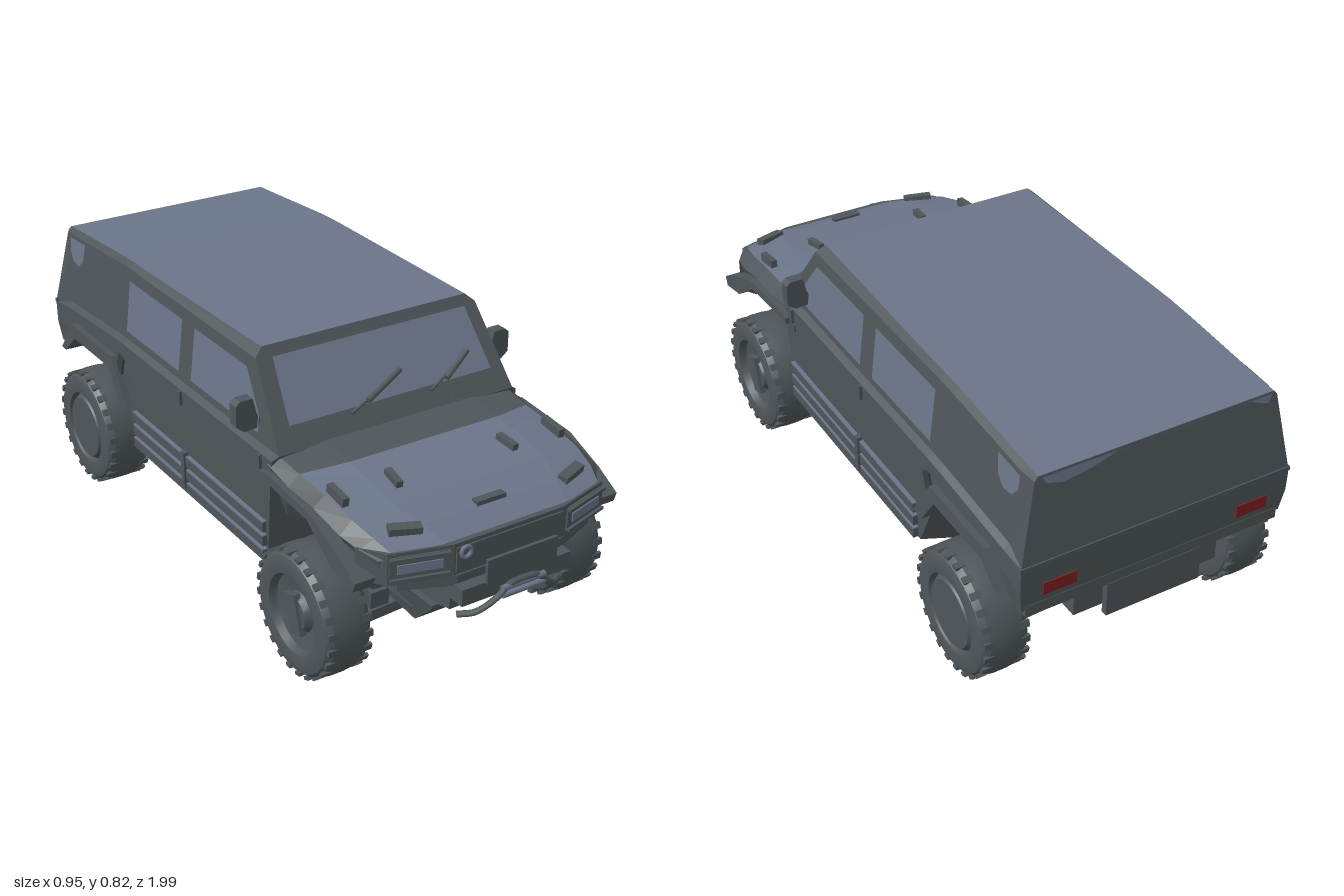
import * as THREE from 'three';
import { toCreasedNormals } from 'three/addons/utils/BufferGeometryUtils.js';

const paint = (name, color, extra = {}) => Object.assign(new THREE.MeshStandardMaterial({ color, ...extra }), { name });
const geometryFrom = positions => {
  const g = new THREE.BufferGeometry();
  g.setAttribute('position', new THREE.Float32BufferAttribute(positions, 3));
  g.computeVertexNormals();
  return g;
};
// Skins mirrored half sections [x, y, z], ordered front to rear, top to bottom.
// pick(i, j) gives the material index of a strip; the last j is the top.
function loft(halves, pick) {
  const rings = halves.map(h => [...h, ...h.slice().reverse().map(([x, y, z]) => [-x, y, z])]);
  const n = rings[0].length, buckets = [[], []];
  const quad = (k, a, b, c, d) => buckets[k].push(...a, ...b, ...d, ...b, ...c, ...d);
  for (let i = 0; i < rings.length - 1; i++) {
    for (let j = 0; j < n; j++) {
      const k = (j + 1) % n;
      quad(pick(i, j), rings[i][j], rings[i][k], rings[i + 1][k], rings[i + 1][j]);
    }
  }
  const front = rings[0], rear = rings[rings.length - 1];
  for (let j = 0; j < n / 2 - 1; j++) {
    quad(0, front[n - 1 - j], front[n - 2 - j], front[j + 1], front[j]);
    quad(0, rear[j], rear[j + 1], rear[n - 2 - j], rear[n - 1 - j]);
  }
  const geo = geometryFrom(buckets.flat());
  geo.addGroup(0, buckets[0].length / 3, 0);
  geo.addGroup(buckets[0].length / 3, buckets[1].length / 3, 1);
  return geo;
}
const vectors = pts => pts.map(p => (p.length > 2 ? new THREE.Vector3(...p) : new THREE.Vector2(...p)));
const extrude = (pts, depth) => new THREE.ExtrudeGeometry(new THREE.Shape(vectors(pts)), { depth, bevelEnabled: false });
// Outlines [z, y], [x, z] and [x, y], extruded along x, y and z
const sideProfile = (pts, x0, x1) => extrude(pts, x1 - x0).rotateY(-Math.PI / 2).translate(x1, 0, 0);
const planProfile = (pts, y0, y1) => extrude(pts, y1 - y0).rotateX(Math.PI / 2).translate(0, y1, 0);
const frontProfile = (pts, z0, z1) => extrude(pts, z1 - z0).translate(0, 0, z0);
const mirrored = half => [...half, ...half.slice().reverse().map(([x, v]) => [-x, v])];

export function createModel() {
  const root = new THREE.Group();
  root.name = 'armouredTruck';
  const grey = paint('bodyGrey', 0x4f5659);
  const blue = paint('slateBlue', 0x6b7589, { side: THREE.DoubleSide });
  const dark = paint('charcoal', 0x393f41);
  const red = paint('lampRed', 0x7c2022);
  const add = (name, geo, mat = grey, parent = root) => {
    const m = new THREE.Mesh(geo, mat);
    m.name = name;
    parent.add(m);
    return m;
  };
  const box = (name, size, pos, mat = grey, rot = [0, 0, 0], parent = root) => {
    const m = add(name, new THREE.BoxGeometry(...size), mat, parent);
    m.position.set(...pos);
    m.rotation.set(...rot);
  };
  const rod = (name, a, b, r, mat = grey) => {
    const [p, q] = vectors([a, b]);
    const m = add(name, new THREE.CylinderGeometry(r, r, p.distanceTo(q), 10), mat);
    m.position.copy(p).lerp(q, 0.5);
    m.quaternion.setFromUnitVectors(new THREE.Vector3(0, 1, 0), q.sub(p).normalize());
  };
  // Thin convex face from its corners
  const panel = (name, pts, mat) =>
    add(name, geometryFrom(pts.slice(2).flatMap((p, i) => [pts[0], pts[i + 1], p]).flat()), mat);

  // Cabin and rear body in one hull, arched over the rear wheels
  const cabinRing = (z, low, floor) => {
    const drop = Math.max(0, -0.53 - z) * 0.065;
    return [[0.358, 0.82 - drop, z], [0.374, 0.803 - drop, z], [0.4, 0.578 - drop, z],
      [0.418, 0.565 - drop, z], [0.418, 0.47, z], [0.41, low, z], [0.3, floor, z]];
  };
  add('cabin', loft([
    [[0.345, 0.824, 0.24], [0.372, 0.8, 0.255], [0.398, 0.578, 0.418], [0.418, 0.565, 0.41], [0.418, 0.47, 0.4], [0.41, 0.23, 0.37], [0.3, 0.19, 0.35]],
    cabinRing(-0.44, 0.23, 0.19), cabinRing(-0.5, 0.36, 0.34), cabinRing(-0.57, 0.47, 0.465),
    cabinRing(-0.83, 0.47, 0.465), cabinRing(-0.9, 0.4, 0.4),
    [[0.36, 0.792, -0.96], [0.37, 0.78, -0.962], [0.418, 0.54, -0.988], [0.42, 0.53, -0.99], [0.42, 0.46, -0.988], [0.41, 0.39, -0.98], [0.3, 0.39, -0.98]],
  ], (i, j) => (j === 13 ? 1 : 0)), [grey, blue]);
  box('tailCrease', [0.845, 0.012, 0.012], [0, 0.535, -0.986]);
  const tail = ([x, y]) => [x, y, -0.966 - (0.79 - y) * 0.115];
  panel('tailPatch', [[0.13, 0.789], [0.2, 0.768], [0.29, 0.755], [0.34, 0.77], [0.35, 0.789]].map(tail), blue);
  panel('tailPatch', [[-0.35, 0.789], [-0.34, 0.765], [-0.31, 0.775], [-0.28, 0.789]].map(tail), blue);

  // Bonnet with a painted top; its flanks tuck in under the flares
  add('bonnet', loft([
    [[0.2, 0.495, 0.91], [0.34, 0.49, 0.88], [0.37, 0.47, 0.86], [0.365, 0.41, 0.85]],
    [[0.22, 0.525, 0.84], [0.36, 0.515, 0.82], [0.4, 0.49, 0.81], [0.38, 0.41, 0.81]],
    [[0.25, 0.545, 0.75], [0.375, 0.535, 0.74], [0.412, 0.5, 0.74], [0.365, 0.41, 0.74]],
    [[0.25, 0.565, 0.62], [0.38, 0.553, 0.62], [0.418, 0.525, 0.62], [0.34, 0.42, 0.62]],
    [[0.25, 0.577, 0.54], [0.385, 0.56, 0.5], [0.42, 0.53, 0.5], [0.34, 0.4, 0.5]],
    [[0.25, 0.585, 0.39], [0.39, 0.572, 0.39], [0.42, 0.55, 0.39], [0.36, 0.37, 0.39]],
  ], (i, j) => (i < 4 && (j === 0 || j > 5) ? 1 : 0)), [grey, blue]);
  box('engineBay', [0.62, 0.11, 0.47], [0, 0.415, 0.615]);

  // Nose, bumper and lower skid
  add('nose', planProfile(mirrored([[0.405, 0.8], [0.355, 0.875], [0.18, 0.925]]), 0.4, 0.494));
  add('bumper', planProfile(mirrored([[0.36, 0.78], [0.32, 0.87], [0.17, 0.93]]), 0.37, 0.4));
  add('bumperCorners', frontProfile(mirrored([[0.428, 0.43], [0.425, 0.41], [0.365, 0.37], [0.17, 0.36]]), 0.77, 0.83));
  add('frontChassis', sideProfile([[0.36, 0.2], [0.74, 0.2], [0.84, 0.27], [0.91, 0.29], [0.92, 0.37], [0.36, 0.44]], -0.18, 0.18));
  add('skid', loft([
    [[0.2, 0.275, 0.86], [0.2, 0.265, 0.86]], [[0.2, 0.275, 0.82], [0.165, 0.155, 0.74]], [[0.2, 0.25, 0.4], [0.165, 0.18, 0.4]],
  ], () => 0), [grey, blue]);
  box('skidTip', [0.08, 0.02, 0.12], [0, 0.145, 0.67]);
  box('grille', [0.35, 0.075, 0.006], [0, 0.445, 0.927]);
  box('winchBlock', [0.36, 0.05, 0.05], [0, 0.35, 0.94]);
  box('frontPlate', [0.23, 0.072, 0.01], [0, 0.417, 0.978]);
  box('plateArm', [0.1, 0.02, 0.06], [0, 0.4, 0.948]);
  const hookHalf = [[-0.17, 0.28, 0.93], [-0.13, 0.29, 0.96], [-0.075, 0.335, 0.985], [-0.05, 0.36, 0.988]];
  const hookPath = new THREE.CatmullRomCurve3(vectors([...hookHalf, ...hookHalf.slice().reverse().map(([x, y, z]) => [-x, y, z])]));
  add('towBar', new THREE.TubeGeometry(hookPath, 28, 0.01, 6));
  for (const y of [0.336, 0.358]) rod('towCrossbar', [-0.07, y, 0.99], [0.07, y, 0.99], 0.009, blue);
  add('towRing', new THREE.TorusGeometry(0.016, 0.006, 6, 14), blue).position.set(-0.15, 0.468, 0.935);
  box('bonnetHandle', [0.095, 0.014, 0.025], [0, 0.53, 0.83]);

  // Windscreen and wipers
  const screen = (x, y, d = 0.006) => [x, y + d * 0.6, 0.24 + (0.823 - y) * 0.727 + d];
  panel('windscreen', [screen(-0.325, 0.795), screen(-0.343, 0.637), screen(0.343, 0.637), screen(0.325, 0.795)], blue);
  for (const [x0, x1] of [[-0.15, 0.04], [0.12, 0.275]]) {
    rod('wiperArm', screen(x0, 0.625, 0.012), screen(x1 - 0.02, 0.68, 0.012), 0.005);
    rod('wiperBlade', screen(x0 + 0.06, 0.643, 0.017), screen(x1, 0.692, 0.017), 0.009);
  }

  for (const s of [1, -1]) {
    // Side windows and rear paint patch lie on the sloping upper flank
    const flank = ([z, y]) => [s * (0.405 - (y - 0.578) * 0.117), y, z];
    panel('frontWindow', [[0.225, 0.768], [0.31, 0.655], [0.31, 0.605], [-0.075, 0.605], [-0.075, 0.768]].map(flank), blue);
    panel('rearWindow', [[-0.15, 0.768], [-0.15, 0.605], [-0.49, 0.605], [-0.49, 0.768]].map(flank), blue);
    panel('paintPatch', [[-0.81, 0.778], [-0.82, 0.72], [-0.85, 0.695], [-0.89, 0.7], [-0.915, 0.73], [-0.915, 0.772]].map(flank), blue);

    // Wheel arch flares
    const arch = (name, pts) => add(name, sideProfile(pts, s > 0 ? 0.37 : -0.437, s > 0 ? 0.437 : -0.37));
    arch('frontFlare', [[0.365, 0.505], [0.365, 0.525], [0.42, 0.535], [0.64, 0.518], [0.77, 0.465], [0.85, 0.42],
      [0.84, 0.39], [0.74, 0.41], [0.62, 0.495], [0.42, 0.508]]);
    arch('rearFlare', [[-0.93, 0.39], [-0.84, 0.505], [-0.545, 0.505], [-0.45, 0.36], [-0.5, 0.36], [-0.57, 0.46], [-0.82, 0.46], [-0.9, 0.39]]);

    // Ribbed sill with painted ledges
    for (const y of [0.34, 0.295, 0.25]) {
      box('sillRib', [0.02, 0.03, 0.8], [s * 0.417, y, -0.03]);
      box('sillLedge', [0.02, 0.004, 0.8], [s * 0.417, y + 0.017, -0.03], blue);
    }
    // Door fittings
    box('doorPillar', [0.016, 0.12, 0.02], [s * 0.425, 0.31, -0.09]);
    for (const z of [0.35, -0.11]) box('doorHandle', [0.014, 0.045, 0.016], [s * 0.42, 0.54, z]);
    box('lockPlate', [0.008, 0.02, 0.04], [s * 0.42, 0.5, 0.355]);
    box('sideVent', [0.008, 0.06, 0.035], [s * 0.42, 0.49, -0.51], dark, [0.3, 0, 0]);
    add('mirror', frontProfile([[0.385, 0.64], [0.4, 0.618], [0.44, 0.615], [0.465, 0.635], [0.465, 0.698],
      [0.452, 0.71], [0.412, 0.71], [0.4, 0.66]].map(([x, y]) => [s * x, y]), 0.27, 0.305));

    // Headlamp
    const lamp = new THREE.Group();
    lamp.name = 'headlamp';
    lamp.position.set(s * 0.272, 0.448, 0.9);
    lamp.rotation.y = s * 0.278;
    root.add(lamp);
    box('lampBezel', [0.165, 0.07, 0.008], [0, 0, 0], grey, [0, 0, 0], lamp);
    box('lampLens', [0.125, 0.026, 0.008], [0, 0, 0.004], blue, [0, 0, 0], lamp);
    for (const y of [-0.03, 0.03]) box('lampBar', [0.165, 0.008, 0.014], [0, y, 0.006], grey, [0, 0, 0], lamp);

    // Bonnet hardware and tail lamp
    box('bonnetLatch', [0.02, 0.02, 0.07], [s * 0.19, 0.567, 0.66], grey, [0.12, s * 0.1, 0]);
    box('bonnetHinge', [0.02, 0.03, 0.08], [s * 0.36, 0.56, 0.65], grey, [0.12, 0, 0]);
    box('markerLamp', [0.09, 0.022, 0.03], [s * 0.275, 0.525, 0.835], grey, [0.15, s * 0.35, 0]);
    box('cowlPad', [0.045, 0.04, 0.008], screen(s * 0.215, 0.612, 0.001), grey, [-0.63, 0, 0]);
    box('tailLamp', [0.1, 0.038, 0.009], [s * 0.303, 0.45, -0.988], red);

    // Suspension on each axle
    for (const z of [0.59, -0.71]) {
      box('lowerArm', [0.2, 0.032, 0.1], [s * 0.205, 0.135, z], grey, [0, 0, -s * 0.06]);
      box('springSeat', [0.06, 0.05, 0.08], [s * 0.22, 0.19, z + 0.02]);
      box('hubCarrier', [0.05, 0.12, 0.09], [s * 0.3, 0.19, z]);
      rod('shock', [s * 0.285, 0.21, z + 0.05], [s * 0.265, 0.37, z + 0.05], 0.026, blue);
    }
  }

  // Chassis, axles and rear bumper
  box('rearChassis', [0.46, 0.2, 0.5], [0, 0.37, -0.7]);
  box('tailStep', [0.3, 0.11, 0.02], [0, 0.315, -0.975]);
  box('rearBumper', [0.8, 0.035, 0.04], [0, 0.385, -0.963]);
  add('bellyKeel', sideProfile([[0.4, 0.2], [0.3, 0.18], [-0.36, 0.18], [-0.42, 0.165], [-0.5, 0.18], [-0.56, 0.28], [0.4, 0.28]], -0.2, 0.2));
  for (const z of [0.59, -0.71]) {
    rod('axle', [-0.33, 0.19, z], [0.33, 0.19, z], 0.028);
    box('differential', [0.17, 0.13, 0.15], [0, 0.21, z]);
  }

  // Wheels: turned tyre and dished rim, with shallow shoulder lugs
  const tyre = toCreasedNormals(new THREE.LatheGeometry(vectors([[0, -0.05], [0.1, -0.05], [0.11, -0.072], [0.15, -0.077],
    [0.172, -0.07], [0.186, -0.052], [0.19, -0.02], [0.19, 0.02], [0.186, 0.052], [0.172, 0.07], [0.15, 0.077], [0.118, 0.072],
    [0.11, 0.05], [0.06, 0.04], [0.05, 0.06], [0, 0.06]]), 28), 0.5);
  const lug = new THREE.BoxGeometry(0.01, 0.03, 0.02);
  for (const [s, z] of [[1, 0.59], [-1, 0.59], [1, -0.71], [-1, -0.71]]) {
    const wheel = new THREE.Group();
    wheel.name = z > 0 ? 'frontWheel' : 'rearWheel';
    wheel.position.set(s * 0.397, 0.192, z);
    wheel.rotation.z = -s * Math.PI / 2;
    root.add(wheel);
    add('tyre', tyre, grey, wheel);
    for (let i = 0; i < 48; i++) {
      const a = i * Math.PI / 24, m = add('treadLug', lug, grey, wheel);
      m.position.set(Math.cos(a) * 0.183, i % 2 ? 0.055 : -0.055, Math.sin(a) * 0.183);
      m.rotation.y = -a;
    }
    if (z > 0) box('hubBlock', [0.12, 0.02, 0.055], [0, 0.06, 0], grey, [0, 0.3, 0], wheel);
    else add('hubCover', new THREE.CylinderGeometry(0.1, 0.114, 0.02, 20), grey, wheel).position.y = 0.062;
  }
  return root;
}
